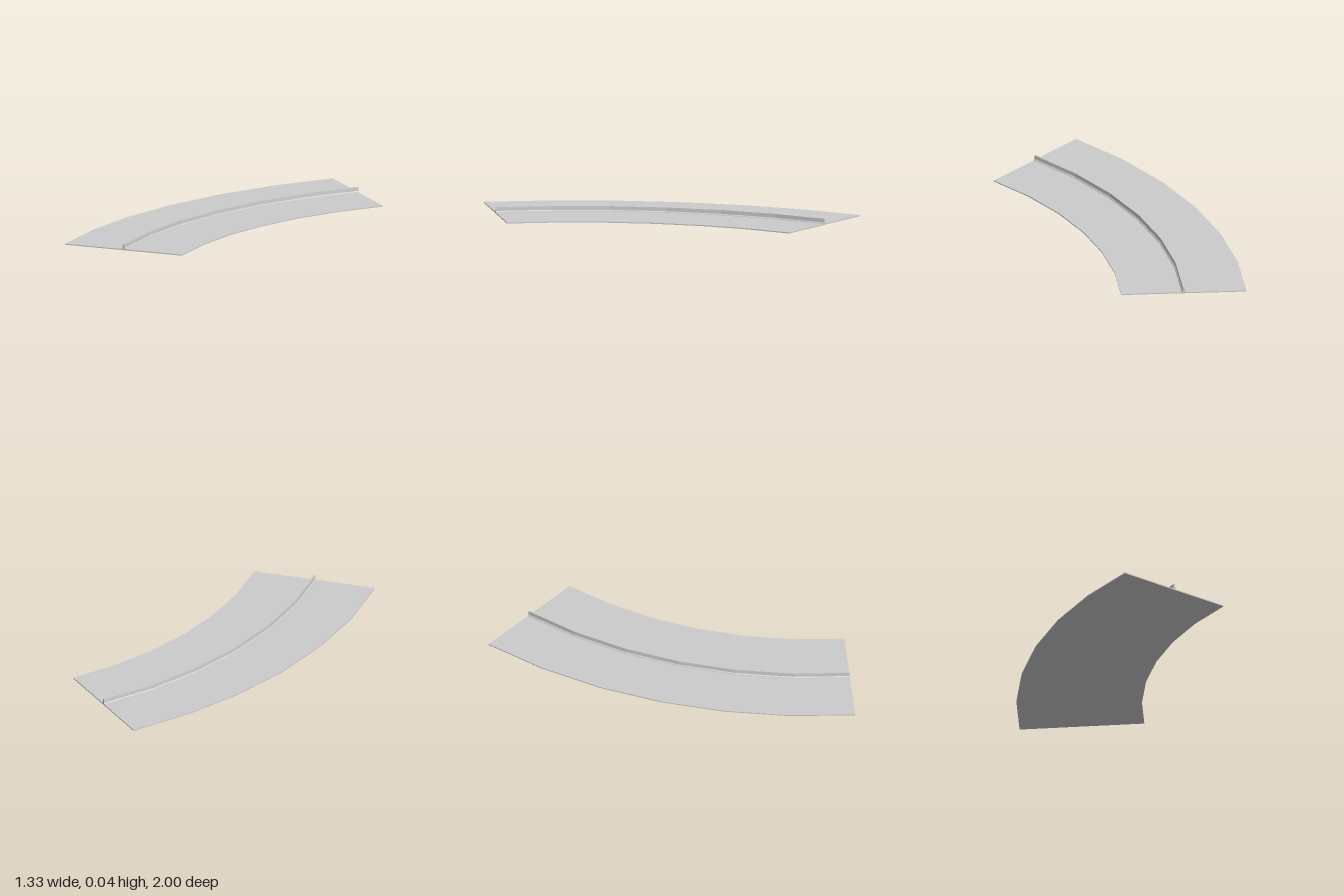
import * as THREE from 'three';

const CENTRE_X = 2.163, CENTRE_Z = 1; // centre of the bend
const MID = 2.475, HALF_WIDTH = 0.3535; // radius of the centre line, half road width
const SWEEP = Math.PI / 4, SEGMENTS = 6;

// Sweeps a counter-clockwise [radial offset, height] profile round the bend, with end caps
function sweepProfile(name, profile, material) {
  const pos = [];
  const put = ([offset, y], step) => {
    const a = (SWEEP * step) / SEGMENTS, r = MID + offset;
    pos.push(CENTRE_X - r * Math.cos(a), y, CENTRE_Z - r * Math.sin(a));
  };
  for (let s = 0; s < SEGMENTS; s++) {
    profile.forEach((p, i) => {
      const q = profile[(i + 1) % profile.length];
      put(p, s); put(q, s); put(q, s + 1);
      put(p, s); put(q, s + 1); put(p, s + 1);
    });
  }
  // end caps
  const contour = profile.map(([x, y]) => new THREE.Vector2(x, y));
  for (const [a, b, c] of THREE.ShapeUtils.triangulateShape(contour, [])) {
    put(profile[a], 0); put(profile[c], 0); put(profile[b], 0);
    put(profile[a], SEGMENTS); put(profile[b], SEGMENTS); put(profile[c], SEGMENTS);
  }
  const geometry = new THREE.BufferGeometry();
  geometry.setAttribute('position', new THREE.Float32BufferAttribute(pos, 3));
  geometry.computeVertexNormals();
  const mesh = new THREE.Mesh(geometry, material);
  mesh.name = name;
  return mesh;
}

export function createModel() {
  const group = new THREE.Group();
  group.name = 'curvedRoad';
  const material = new THREE.MeshStandardMaterial({ color: 0xcccccc, flatShading: true });

  // thin road slab
  const top = 0.006;
  const slab = [[-HALF_WIDTH, 0], [HALF_WIDTH, 0], [HALF_WIDTH, top], [-HALF_WIDTH, top]];
  group.add(sweepProfile('roadSlab', slab, material));

  // median barrier with a flared foot, mirrored about the centre line
  const side = [[0.012, 0.005], [0.011, 0.009], [0.006, 0.014], [0.0045, 0.035]];
  const barrier = [...side, ...side.map(([x, y]) => [-x, y]).reverse()];
  group.add(sweepProfile('medianBarrier', barrier, material));

  return group;
}
